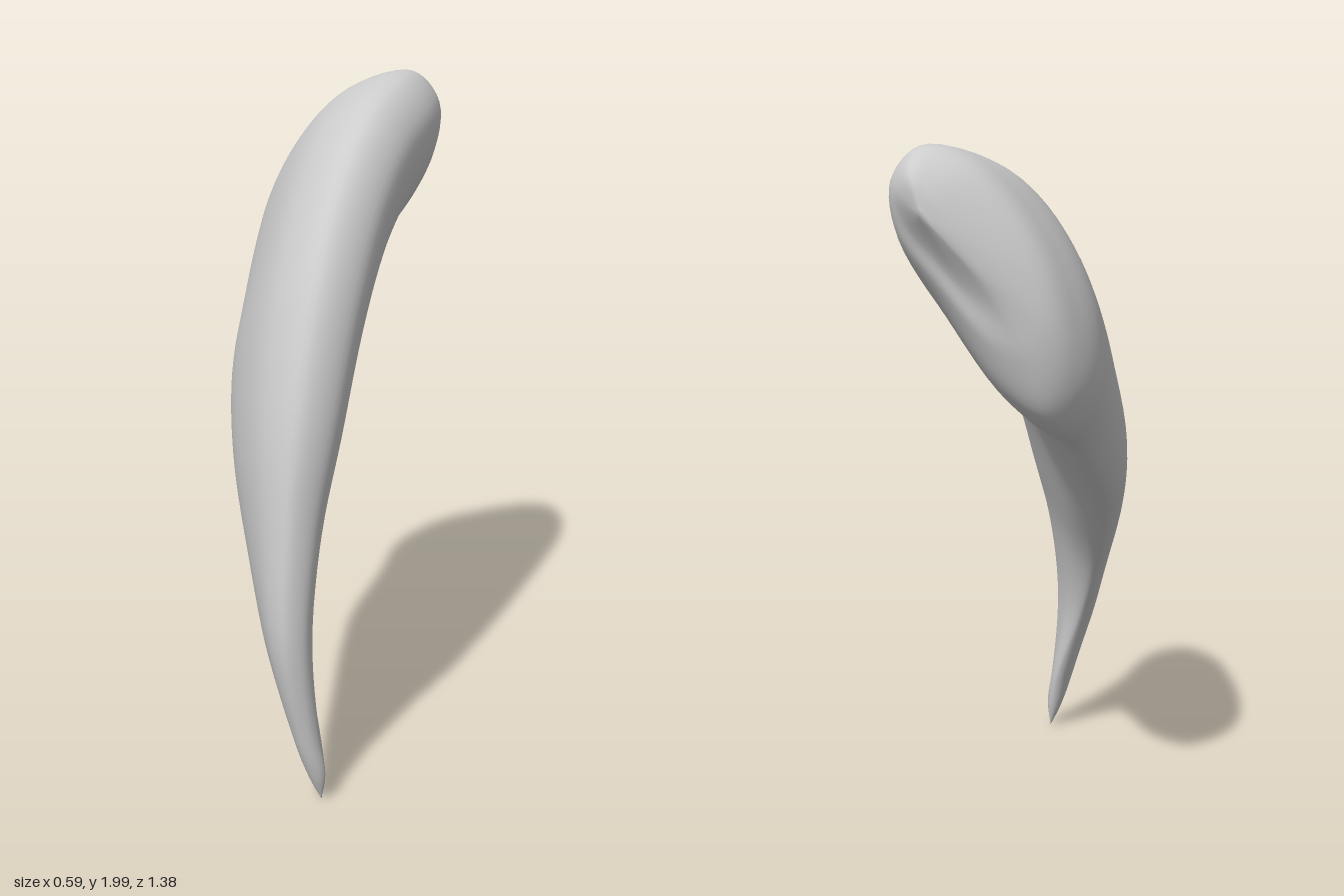
import * as THREE from 'three';

const V = (x, y, z) => new THREE.Vector3(x, y, z);

// Stations from tip to root:
// inner edge xyz, outer ridge xyz, half thickness, fullness of the domed side
const STATIONS = [
  [0.245, 0.08, 0.545, 0.25, 0.08, 0.605, 0.03, 1],
  [0.215, 0.2, 0.52, 0.225, 0.2, 0.64, 0.045, 1],
  [0.105, 0.45, 0.47, 0.2, 0.5, 0.69, 0.08, 0.85],
  [0.01, 0.65, 0.37, 0.2, 0.83, 0.66, 0.115, 0.85],
  [-0.085, 0.83, 0.2, 0.205, 1.12, 0.6, 0.16, 0.87],
  [-0.15, 0.96, 0.04, 0.205, 1.45, 0.46, 0.185, 0.92],
  [-0.17, 1.06, -0.1, 0.2, 1.72, 0.25, 0.195, 1],
  [-0.185, 1.155, -0.24, 0.2, 1.89, 0.0, 0.2, 1.18],
  [-0.2, 1.2, -0.38, 0.2, 1.97, -0.25, 0.2, 1.4],
  [-0.2, 1.27, -0.485, 0.18, 1.99, -0.44, 0.185, 1.42],
  [-0.18, 1.42, -0.55, 0.14, 1.975, -0.575, 0.16, 1.15],
  [-0.08, 1.59, -0.6, 0.11, 1.9, -0.67, 0.1, 0.5],
];
const TIP = V(0.26, 0, 0.57);
const ROOT = V(0.07, 1.8, -0.685);

// Cross-section: fraction from inner edge to ridge, offset in half thicknesses.
// Positive offsets are the domed side, negative the flatter side.
const PROFILE = [
  [0, 0], [0.06, 0.42], [0.28, 0.75], [0.6, 0.78], [0.86, 0.52],
  [1, 0], [0.94, -0.65], [0.74, -0.95], [0.46, -0.79], [0.14, -0.47],
];

function clawGeometry(around, along) {
  const mids = STATIONS.map((s) => V((s[0] + s[3]) / 2, (s[1] + s[4]) / 2, (s[2] + s[5]) / 2));
  const path = [TIP, ...mids, ROOT];

  // Ring of profile points at each station, resampled smoothly
  const rings = STATIONS.map((s, i) => {
    const inner = V(s[0], s[1], s[2]);
    const chord = V(s[3], s[4], s[5]).sub(inner);
    const tangent = path[i + 2].clone().sub(path[i]).normalize();
    const normal = chord.clone().cross(tangent).normalize();
    const pts = PROFILE.map(([u, w]) => inner.clone()
      .addScaledVector(chord, u)
      .addScaledVector(normal, w * s[6] * (w > 0 ? s[7] : 1)));
    const loop = new THREE.CatmullRomCurve3(pts, true);
    return Array.from({ length: around }, (_, j) => loop.getPoint(j / around));
  });

  // Lengthwise curves joining matching ring points
  const rails = Array.from({ length: around }, (_, j) =>
    new THREE.CatmullRomCurve3([TIP, ...rings.map((r) => r[j]), ROOT]));

  const pos = [...TIP.toArray()];
  for (let i = 1; i < along; i++) {
    for (const rail of rails) pos.push(...rail.getPoint(i / along).toArray());
  }
  pos.push(...ROOT.toArray());

  const last = pos.length / 3 - 1;
  const id = (i, j) => 1 + (i - 1) * around + (j % around);
  const index = [];
  for (let j = 0; j < around; j++) {
    index.push(0, id(1, j + 1), id(1, j));
    for (let i = 1; i < along - 1; i++) {
      const a = id(i, j), b = id(i, j + 1), c = id(i + 1, j), d = id(i + 1, j + 1);
      index.push(a, b, c, b, d, c);
    }
    index.push(id(along - 1, j), id(along - 1, j + 1), last);
  }

  const geo = new THREE.BufferGeometry();
  geo.setAttribute('position', new THREE.Float32BufferAttribute(pos, 3));
  geo.setIndex(index);
  geo.computeVertexNormals();
  return geo;
}

export function createModel() {
  const group = new THREE.Group();
  group.name = 'claw';
  const grey = new THREE.MeshStandardMaterial({ color: 0xcccccc });
  grey.name = 'pale grey';
  const body = new THREE.Mesh(clawGeometry(60, 78), grey);
  body.name = 'clawBody';
  group.add(body);
  return group;
}
